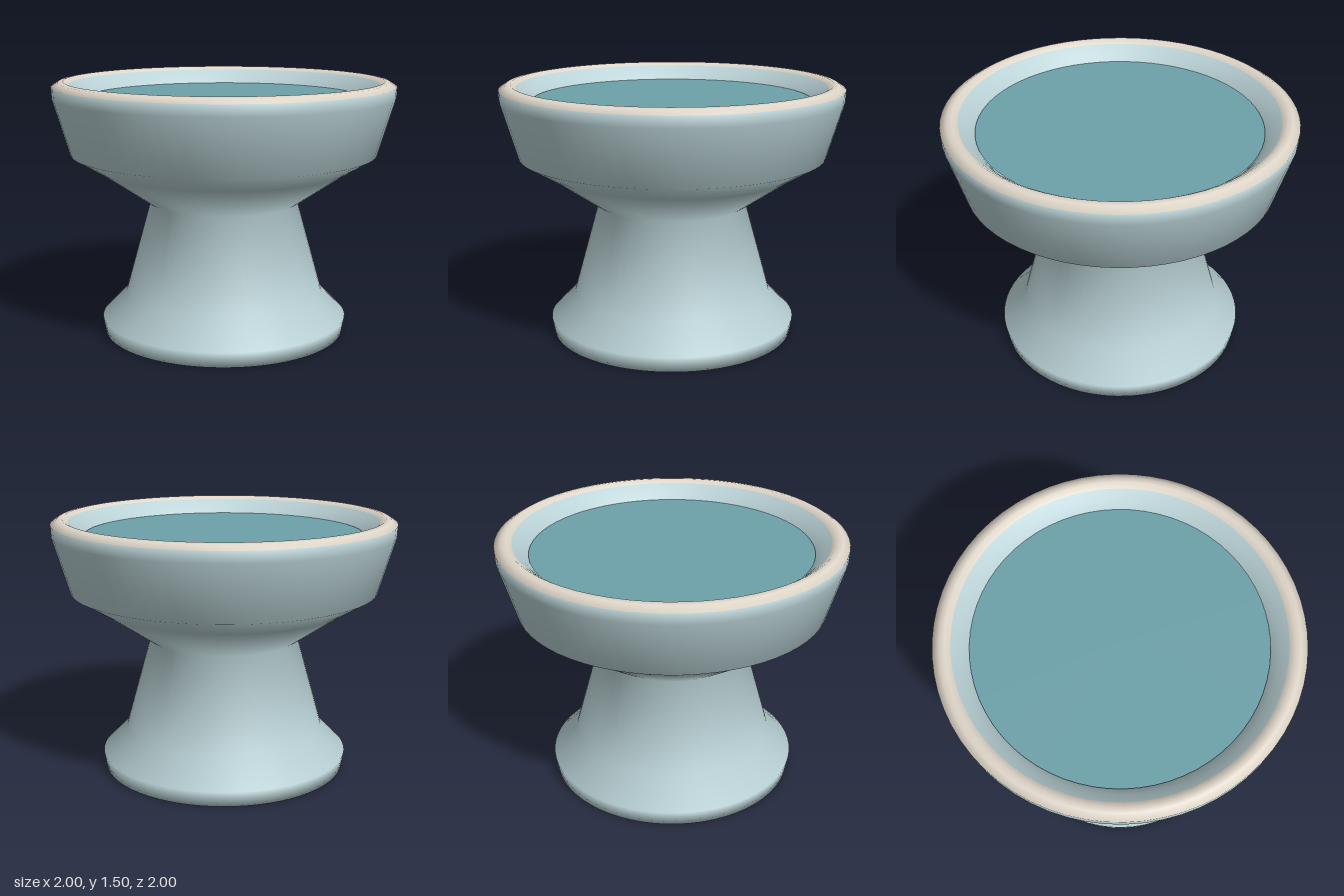
import * as THREE from 'three';

const SEGMENTS = 64;

// Radius and height from the centre of the underside, up the outside and over the rim
const PROFILE = [
  [0, 0], [0.72, 0], [0.735, 0.09], [0.59, 0.24], [0.44, 0.78], [0.74, 0.985],
  [0.9, 1.08], [0.997, 1.41], [1, 1.475],
  [0.96, 1.5], [0.93, 1.505], [0.9, 1.485],
  [0.85, 1.44], [0.815, 1.4], [0.78, 1.35],
];
const RIM_START = 8, RIM_END = 11; // profile points that bound the rim band

export function createModel() {
  const glaze = new THREE.MeshStandardMaterial({ color: 0xbad2d6, side: THREE.DoubleSide });
  glaze.name = 'pale blue glaze';
  const beige = new THREE.MeshStandardMaterial({ color: 0xdfd6c9, side: THREE.DoubleSide });
  beige.name = 'beige rim';
  const teal = new THREE.MeshStandardMaterial({ color: 0x6da1a9 });
  teal.name = 'teal filling';

  const group = new THREE.Group();
  group.name = 'pedestalBowl';

  // Pedestal and bowl in one turned surface, with the rim band as its own material
  const geometry = new THREE.LatheGeometry(PROFILE.map(([r, y]) => new THREE.Vector2(r, y)), SEGMENTS);
  const bands = PROFILE.length - 1;
  for (let i = 0; i < SEGMENTS; i++) {
    const start = i * bands * 6;
    geometry.addGroup(start, RIM_START * 6, 0);
    geometry.addGroup(start + RIM_START * 6, (RIM_END - RIM_START) * 6, 1);
    geometry.addGroup(start + RIM_END * 6, (bands - RIM_END) * 6, 0);
  }
  const bowl = new THREE.Mesh(geometry, [glaze, beige]);
  bowl.name = 'bowlAndPedestal';
  group.add(bowl);

  // Flat filling inside the bowl
  const filling = new THREE.Mesh(new THREE.CircleGeometry(0.812, SEGMENTS).rotateX(-Math.PI / 2), teal);
  filling.name = 'filling';
  filling.position.y = 1.405;
  group.add(filling);

  return group;
}
